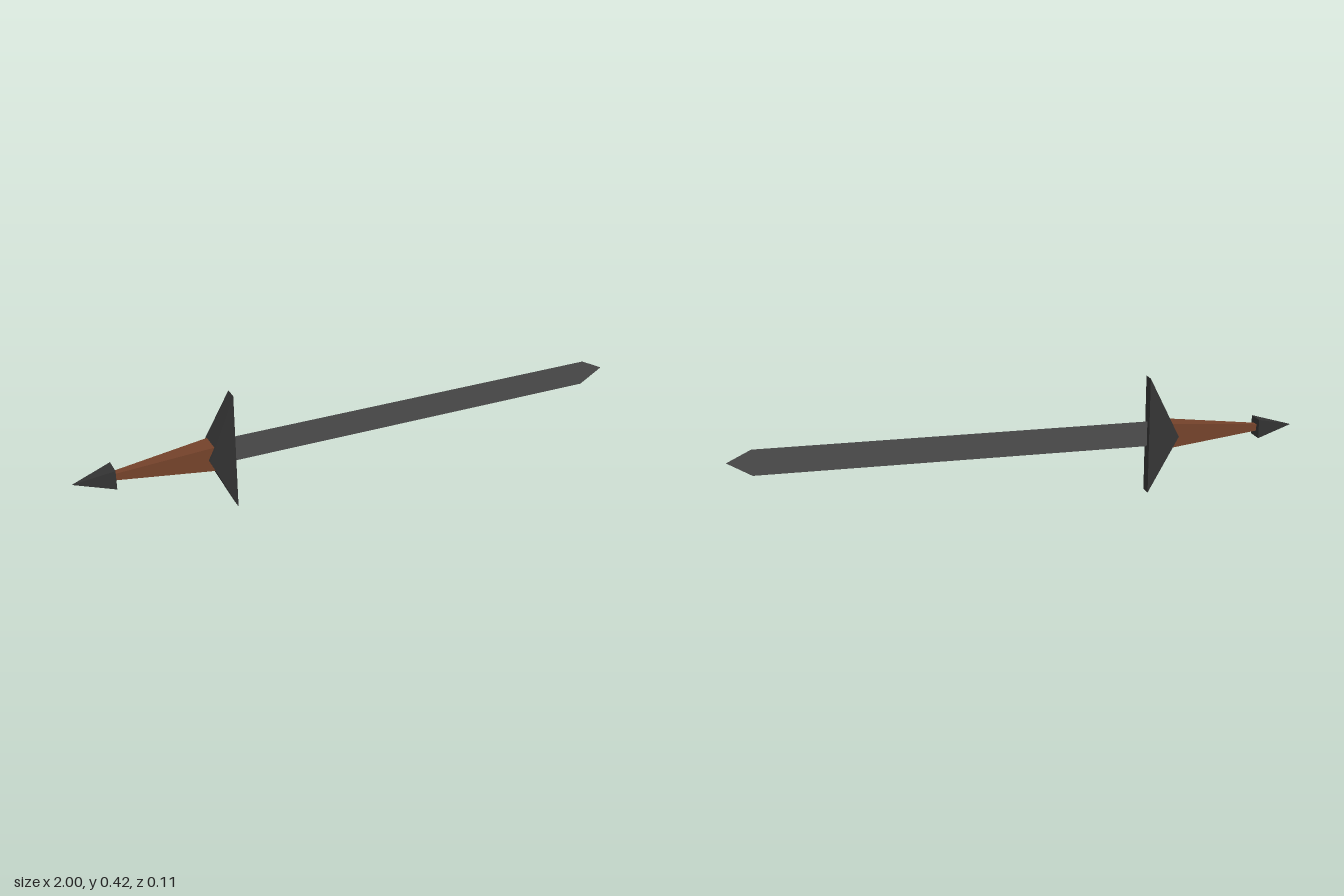
import * as THREE from 'three';

const AXIS_Y = 0.209;

// Box along x whose two end sections have their own half heights (y) and half depths (z).
function taperedBar(name, material, start, end) {
  const geometry = new THREE.BoxGeometry(2, 2, 2);
  const p = geometry.attributes.position;
  for (let i = 0; i < p.count; i++) {
    const section = p.getX(i) < 0 ? start : end;
    p.setXYZ(i, section.x, p.getY(i) * section.y, p.getZ(i) * section.z);
  }
  geometry.computeVertexNormals();
  const mesh = new THREE.Mesh(geometry, material);
  mesh.name = name;
  mesh.position.y = AXIS_Y;
  return mesh;
}

function flat(name, color, options = {}) {
  return new THREE.MeshStandardMaterial({ name, color, flatShading: true, ...options });
}

export function createModel() {
  const darkIron = flat('dark iron', 0x333333);
  const wood = flat('brown wood', 0x74422a);
  const steel = flat('grey steel', 0x4c4c4c, { side: THREE.DoubleSide });

  const sword = new THREE.Group();
  sword.name = 'sword';

  // Pommel: a four-sided spike pointing away from the blade
  sword.add(taperedBar('pommel', darkIron,
    { x: -1, y: 0, z: 0 }, { x: -0.863, y: 0.034, z: 0.032 }));

  // Grip: widens towards the guard
  sword.add(taperedBar('grip', wood,
    { x: -0.87, y: 0.011, z: 0.01 }, { x: -0.53, y: 0.044, z: 0.037 }));

  // Guard: a wedge with a flat face towards the blade and a ridge at the grip
  sword.add(taperedBar('guard', darkIron,
    { x: -0.553, y: 0, z: 0.053 }, { x: -0.454, y: AXIS_Y, z: 0.023 }));

  // Blade: a single flat sheet with a short point
  const outline = new THREE.Shape([
    [-0.46, -0.045], [0.916, -0.045], [1, 0.005], [0.916, 0.046], [-0.46, 0.046],
  ].map(([x, y]) => new THREE.Vector2(x, y)));
  const blade = new THREE.Mesh(new THREE.ShapeGeometry(outline), steel);
  blade.name = 'blade';
  blade.position.y = AXIS_Y + 0.002;
  sword.add(blade);

  return sword;
}
